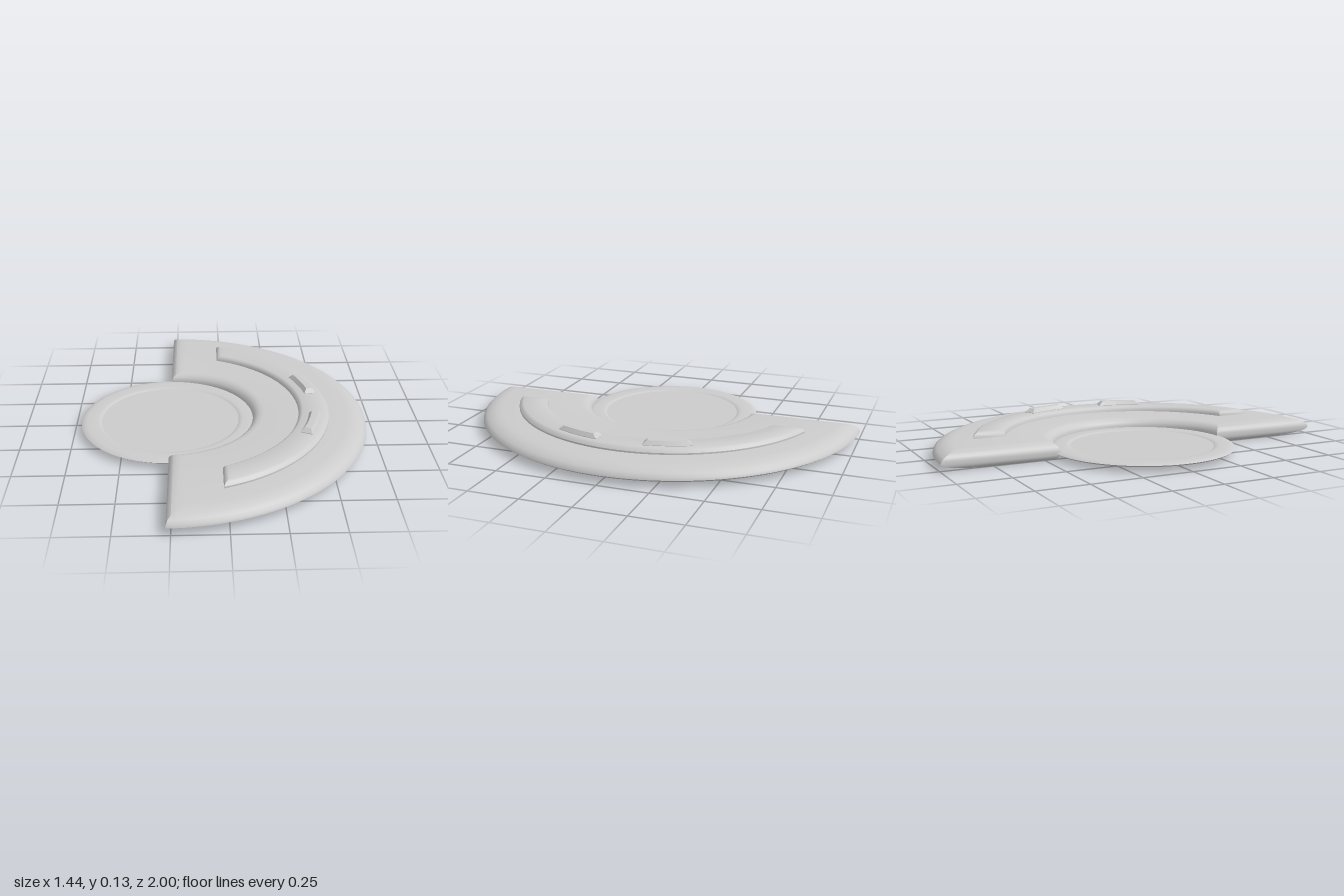
import * as THREE from 'three';
import { toCreasedNormals } from 'three/addons/utils/BufferGeometryUtils.js';

const material = new THREE.MeshStandardMaterial({ color: 0xcccccc, side: THREE.DoubleSide });
const CX = -0.28; // shared centre of all the arcs

// Closed arc-shaped solid lofted through layers [y, innerRadius, outerRadius, end].
// span(end, r) gives the [start, stop] angles of a layer at radius r.
function arcSolid(name, layers, span, steps) {
  const pos = [], index = [], n = 2 * (steps + 1);
  for (const [y, ri, ro, end] of layers) {
    for (let i = 0; i < n; i++) {
      const outer = i <= steps, r = outer ? ro : ri;
      const t = (outer ? i : n - 1 - i) / steps;
      const [a, b] = span(end, r), ang = a + (b - a) * t;
      pos.push(CX + r * Math.cos(ang), y, r * Math.sin(ang));
    }
  }
  const quad = (a, b, c, d) => index.push(a, b, c, a, c, d);
  // walls
  for (let k = 0; k < layers.length - 1; k++) {
    for (let i = 0; i < n; i++) {
      const j = (i + 1) % n, lo = k * n, hi = lo + n;
      quad(lo + i, hi + i, hi + j, lo + j);
    }
  }
  // top and bottom caps
  const top = (layers.length - 1) * n;
  for (let i = 0; i < steps; i++) {
    const o = i, p = n - 1 - i;
    quad(top + o, top + p, top + p - 1, top + o + 1);
    quad(o, o + 1, p - 1, p);
  }
  const geo = new THREE.BufferGeometry();
  geo.setAttribute('position', new THREE.Float32BufferAttribute(pos, 3));
  geo.setIndex(index);
  const mesh = new THREE.Mesh(toCreasedNormals(geo, 0.6), material);
  mesh.name = name;
  return mesh;
}

// ends cut straight, parallel to z, at a distance from the centre
const straightEnds = (e, r) => [-Math.acos(e / r), Math.acos(e / r)];

export function createModel() {
  const group = new THREE.Group();
  group.name = 'crescentPanel';

  // main half-ring slab with rounded edges
  group.add(arcSolid('halfRingBody', [
    [0.0, 0.45, 0.80, 0.03],
    [0.006, 0.44, 0.88, 0.02],
    [0.013, 0.435, 0.94, 0.014],
    [0.023, 0.43, 0.982, 0.01],
    [0.035, 0.43, 1.0, 0.01],
    [0.048, 0.43, 0.996, 0.01],
    [0.062, 0.437, 0.98, 0.017],
    [0.074, 0.45, 0.955, 0.032],
    [0.081, 0.465, 0.93, 0.05],
    [0.084, 0.485, 0.90, 0.07],
  ], straightEnds, 96));

  // raised arc band
  group.add(arcSolid('raisedBand', [
    [0.07, 0.66, 0.812, 0.26],
    [0.092, 0.66, 0.812, 0.26],
    [0.105, 0.668, 0.802, 0.268],
    [0.111, 0.68, 0.79, 0.28],
  ], straightEnds, 72));

  // pair of mirrored raised buttons
  for (const side of [-1, 1]) {
    const radialEnds = (inset) => {
      const a = THREE.MathUtils.degToRad(8.6 + inset);
      const b = THREE.MathUtils.degToRad(26 - inset);
      return side > 0 ? [a, b] : [-b, -a];
    };
    group.add(arcSolid(side > 0 ? 'frontButton' : 'backButton', [
      [0.10, 0.712, 0.772, 0],
      [0.113, 0.712, 0.772, 0],
      [0.132, 0.726, 0.758, 1.6],
    ], radialEnds, 12));
  }

  // thin round plate with a thicker rim
  const profile = [
    [0, 0.024], [0.348, 0.024], [0.358, 0.019], [0.42, 0.019], [0.44, 0.023], [0.45, 0.03],
    [0.44, 0.036], [0.42, 0.039], [0.37, 0.039], [0.358, 0.038], [0.348, 0.033], [0, 0.033],
  ].map(([r, y]) => new THREE.Vector2(r, y));
  const plate = new THREE.Mesh(toCreasedNormals(new THREE.LatheGeometry(profile, 96), 0.4), material);
  plate.position.x = -0.27;
  plate.name = 'roundPlate';
  group.add(plate);

  return group;
}
